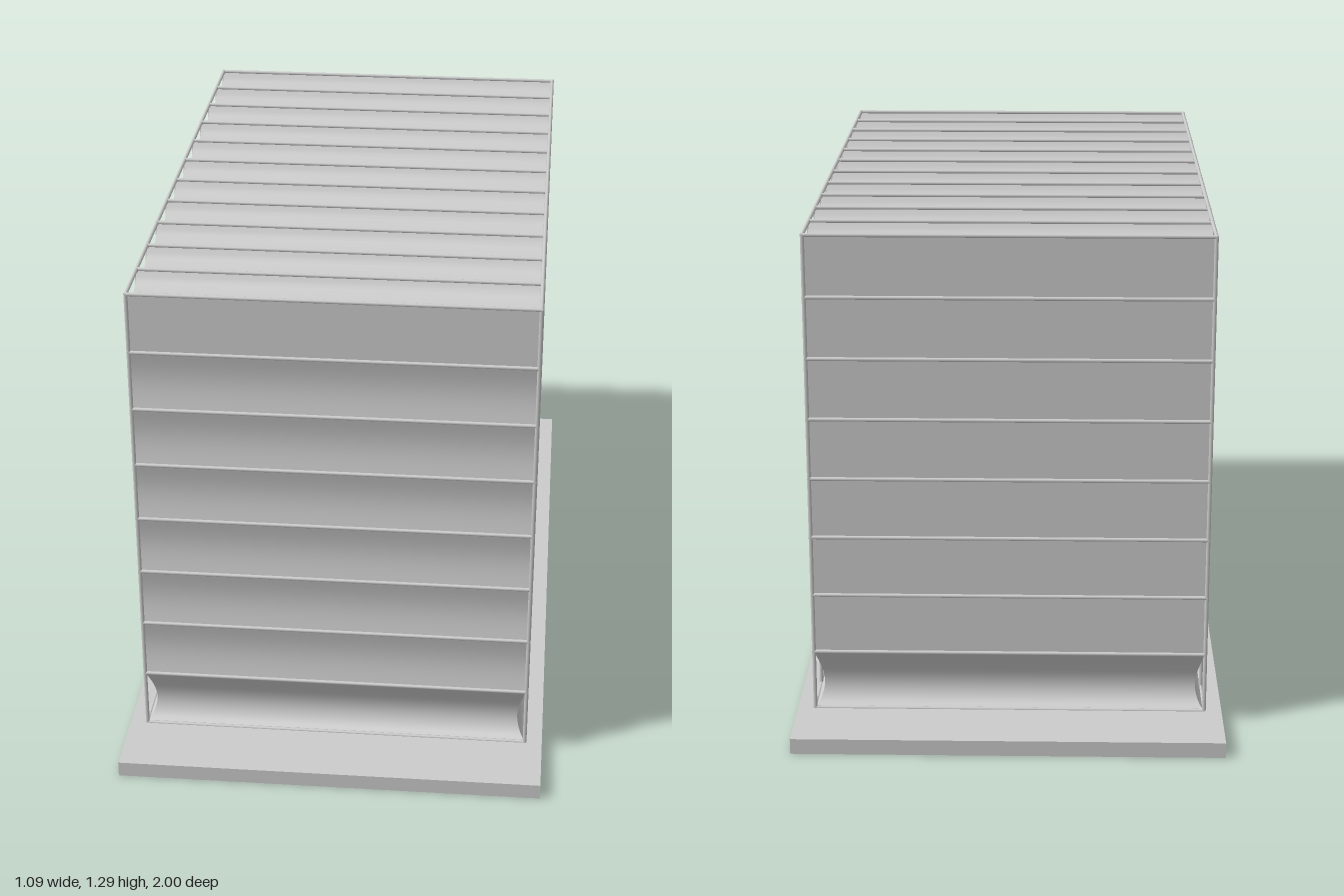
import * as THREE from 'three';
import { mergeGeometries } from 'three/addons/utils/BufferGeometryUtils.js';

const X = 0.498, Z = 0.815;            // half extents of the frame
const Y0 = 0.04, TOP = 1.285;          // foot and top of the frame
const ROWS = 8, BAYS = 11;
const ROW = (TOP - Y0) / ROWS, BAY = (2 * Z) / BAYS;
const ROD = 0.005;

const frameMat = new THREE.MeshStandardMaterial({ color: 0xcccccc });
const clothMat = new THREE.MeshStandardMaterial({ color: 0xcccccc, side: THREE.DoubleSide });

// How far a wall is pulled inwards at height y: deep in the lowest row, shallow above, flat in the top row
function inset(y, deep, shallow) {
  const r = Math.min(ROWS - 1, Math.max(0, Math.floor((y - Y0) / ROW + 1e-6)));
  const s = Math.min(1, Math.max(0, (y - Y0) / ROW - r));
  if (r === 0) return deep * Math.sin(Math.PI * Math.pow(s, 0.7));
  return r === ROWS - 1 ? 0 : shallow * Math.sin(Math.PI * s);
}
const sideInset = (y) => inset(y, 0.022, 0.003);
const frontInset = (y) => inset(y, 0.036, 0.01);
const backInset = (y) => inset(y, 0.036, 0);

// Sag of the roof cloth between neighbouring rods, u = 0..1 across a bay
const roofY = (u) => TOP - 0.045 * Math.sqrt(Math.max(0, 1 - (2 * u - 1) ** 2)) ** 1.4;

// Grid of cells with each vertex placed by fn(u, v)
function sheet(nu, nv, fn) {
  const g = new THREE.PlaneGeometry(1, 1, nu, nv);
  const p = g.attributes.position;
  for (let i = 0; i < p.count; i++) {
    const [x, y, z] = fn(p.getX(i) + 0.5, p.getY(i) + 0.5);
    p.setXYZ(i, x, y, z);
  }
  g.computeVertexNormals();
  return g;
}

function rod(a, b) {
  const from = new THREE.Vector3(...a), to = new THREE.Vector3(...b);
  const dir = to.clone().sub(from);
  const g = new THREE.CylinderGeometry(ROD, ROD, dir.length() + ROD, 8);
  g.applyQuaternion(new THREE.Quaternion().setFromUnitVectors(new THREE.Vector3(0, 1, 0), dir.normalize()));
  const mid = from.add(to).multiplyScalar(0.5);
  return g.translate(mid.x, mid.y, mid.z);
}

export function createModel() {
  const group = new THREE.Group();
  const add = (name, geos, mat) => {
    const mesh = new THREE.Mesh(mergeGeometries(geos), mat);
    mesh.name = name;
    group.add(mesh);
  };

  // Base slab
  add('base', [new THREE.BoxGeometry(1.086, 0.04, 2).translate(0, 0.02, 0)], frameMat);

  // Horizontal rails around the frame at every level
  const rails = [];
  for (let r = 0; r <= ROWS; r++) {
    const y = Y0 + r * ROW;
    for (const s of [-1, 1]) {
      rails.push(rod([-X, y, s * Z], [X, y, s * Z]));
      rails.push(rod([s * X, y, -Z], [s * X, y, Z]));
    }
  }
  add('rails', rails, frameMat);

  // Posts along both sides, and the roof rods joining them
  const posts = [], roofRods = [];
  for (let i = 0; i <= BAYS; i++) {
    const z = -Z + i * BAY;
    for (const s of [-1, 1]) posts.push(rod([s * X, Y0, z], [s * X, TOP, z]));
    roofRods.push(rod([-X, TOP, z], [X, TOP, z]));
  }
  add('posts', posts, frameMat);
  add('roofRods', roofRods, frameMat);

  // Front and back cloth, one sheet per row, trimmed to the side walls
  for (const [name, dir, pull] of [['frontCloth', 1, frontInset], ['backCloth', -1, backInset]]) {
    const sheets = [];
    for (let r = 0; r < ROWS; r++) {
      sheets.push(sheet(1, 16, (u, v) => {
        const y = Y0 + (r + v) * ROW;
        return [dir * (2 * u - 1) * (X - sideInset(y)), y, dir * (Z - pull(y))];
      }));
    }
    add(name, sheets, clothMat);
  }

  // Side cloth, scalloped along the top edge to meet the roof
  for (const [name, dir] of [['leftCloth', 1], ['rightCloth', -1]]) {
    const sheets = [];
    for (let r = 0; r < ROWS; r++) {
      const top = r === ROWS - 1;
      sheets.push(sheet(top ? BAYS * 16 : 1, top ? 1 : 16, (u, v) => {
        const t = dir > 0 ? 1 - u : u;
        const y = Y0 + (r + v) * ROW;
        const z = THREE.MathUtils.lerp(-Z + backInset(y), Z - frontInset(y), t);
        const edge = top && v > 0.5 ? roofY((t * BAYS) % 1) : y;
        return [dir * (X - sideInset(y)), edge, z];
      }));
    }
    add(name, sheets, clothMat);
  }

  // Sagging roof cloth, one sheet per bay
  const roof = [];
  for (let i = 0; i < BAYS; i++) {
    roof.push(sheet(1, 16, (u, v) => [(2 * u - 1) * X, roofY(v), Z - (i + v) * BAY]));
  }
  add('roofCloth', roof, clothMat);

  return group;
}
